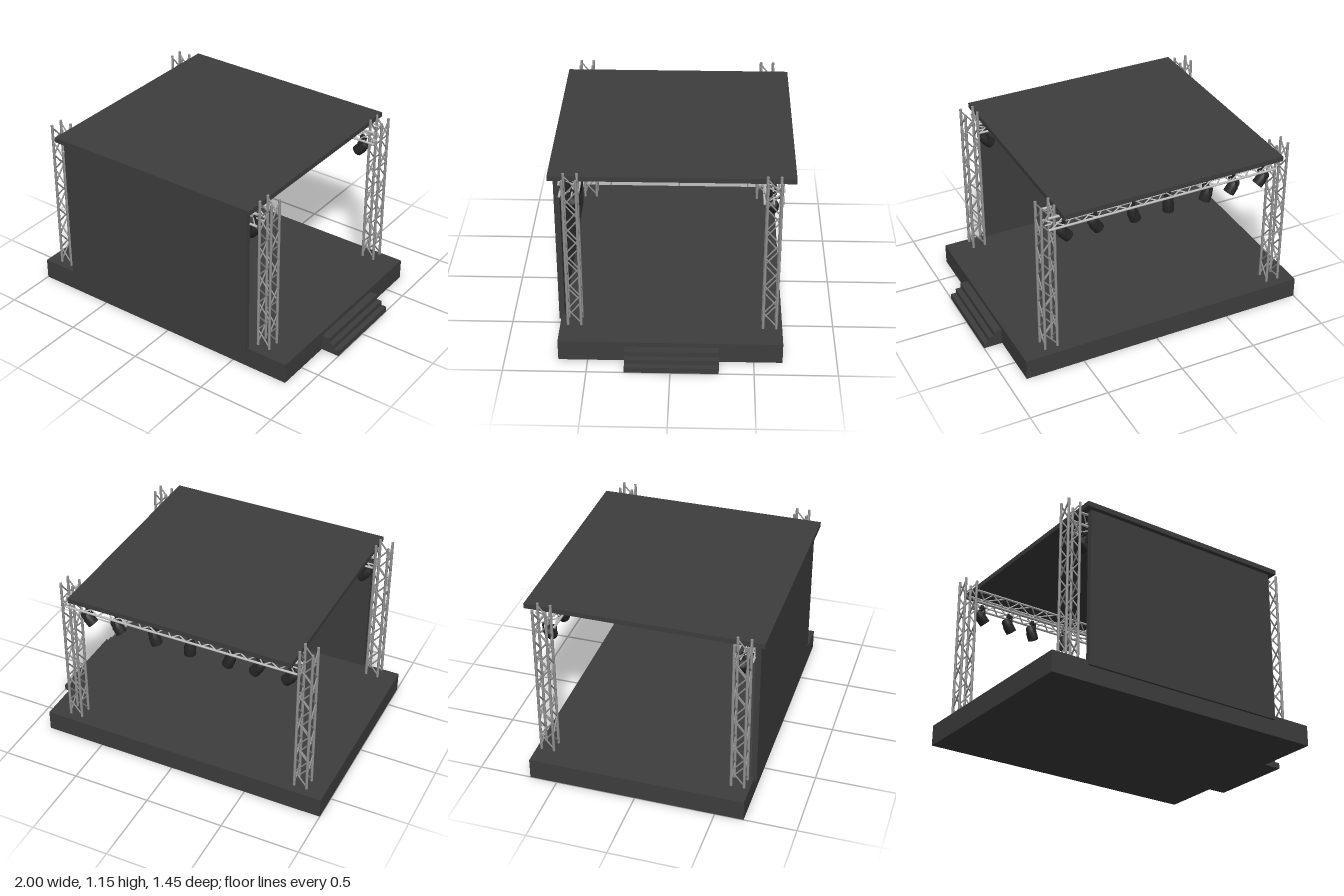
import * as THREE from 'three';
import { mergeGeometries } from 'three/addons/utils/BufferGeometryUtils.js';

const mat = (name, color, side = THREE.FrontSide) => {
  const m = new THREE.MeshStandardMaterial({ color, side });
  m.name = name;
  return m;
};

// Round bar between two points
function bar(a, b, r, sides) {
  const dir = b.clone().sub(a);
  const g = new THREE.CylinderGeometry(r, r, dir.length(), sides);
  g.applyQuaternion(new THREE.Quaternion().setFromUnitVectors(
    new THREE.Vector3(0, 1, 0), dir.clone().normalize()));
  return g.translate((a.x + b.x) / 2, (a.y + b.y) / 2, (a.z + b.z) / 2);
}

// Square lattice truss standing on the origin: w by d between chord centres, n bays high
function trussGeometry(w, d, length, n, chordR, braceR) {
  const V = (x, y, z) => new THREE.Vector3(x, y, z);
  const corners = [[-w / 2, -d / 2], [w / 2, -d / 2], [w / 2, d / 2], [-w / 2, d / 2]];
  const parts = [];
  corners.forEach((c, i) => {
    const e = corners[(i + 1) % 4];
    parts.push(bar(V(c[0], 0, c[1]), V(c[0], length, c[1]), chordR, 10));
    // Zigzag braces; opposite faces run the other way
    const pad = 0.015;
    const bay = (length - 2 * pad) / n;
    for (let k = 0; k < n; k++) {
      const [p, q] = k % 2 ? [e, c] : [c, e];
      parts.push(bar(V(p[0], pad + k * bay, p[1]), V(q[0], pad + (k + 1) * bay, q[1]), braceR, 6));
    }
  });
  return mergeGeometries(parts);
}

export function createModel() {
  const root = new THREE.Group();
  root.name = 'stage';
  const panel = mat('charcoal panel', 0x3d3d3d);
  const steel = mat('tower steel', 0x929292);
  const alloy = mat('light alloy', 0xbcbcbc);
  const black = mat('lamp black', 0x262626);
  const glass = mat('lamp lens', 0x484848);

  const add = (parent, name, geometry, material, x = 0, y = 0, z = 0) => {
    const m = new THREE.Mesh(geometry, material);
    m.name = name;
    m.position.set(x, y, z);
    parent.add(m);
    return m;
  };
  // Box given by its limits on each axis
  const block = (name, x0, x1, y0, y1, z0, z1) => add(root, name,
    new THREE.BoxGeometry(x1 - x0, y1 - y0, z1 - z0), panel,
    (x0 + x1) / 2, (y0 + y1) / 2, (z0 + z1) / 2);

  block('deck', -1, 0.88, 0, 0.132, -0.673, 0.677);
  block('wall', -0.76, 0.603, 0.103, 1.1, 0.657, 0.692);
  block('roof', -0.802, 0.64, 1.1, 1.131, -0.725, 0.722);

  // Side steps
  [[0.93, 0.068, 0.102], [0.965, 0.037, 0.068], [1, 0, 0.037]].forEach(([x, y0, y1], i) =>
    block('step' + (3 - i), 0.88, x, y0, y1, -0.29, 0.275));

  // Corner towers
  const tower = trussGeometry(0.08, 0.08, 1.005, 10, 0.0085, 0.005);
  [['frontRightTower', -0.85, 0.607], ['backRightTower', -0.85, -0.593],
    ['frontLeftTower', 0.688, 0.586], ['backLeftTower', 0.698, -0.595]].forEach(([name, x, z]) =>
    add(root, name, tower, steel, x, 0.15, z));

  // Spotlight with its clamp and yoke, pivoting at the lamp's middle
  const can = new THREE.LatheGeometry([[0, 0.048], [0.02, 0.048], [0.029, 0.036], [0.031, 0.005],
    [0.035, 0.005], [0.035, -0.046], [0.03, -0.046], [0.03, -0.038]]
    .reverse().map(([x, y]) => new THREE.Vector2(x, y)), 16);
  const lens = new THREE.CylinderGeometry(0.031, 0.031, 0.004, 16);
  const yokeArm = new THREE.BoxGeometry(0.014, 0.055, 0.005);
  const yokeTop = new THREE.BoxGeometry(0.014, 0.005, 0.087);
  const hanger = new THREE.CylinderGeometry(0.006, 0.006, 0.04, 8);
  const clamp = new THREE.BoxGeometry(0.02, 0.022, 0.024);
  function spotlight(parent, x, tilt, z) {
    const g = new THREE.Group();
    g.name = 'spotlight';
    g.position.set(x, 0.922, z);
    const lamp = new THREE.Group();
    lamp.name = 'lamp';
    lamp.rotation.z = tilt;
    add(lamp, 'lampCan', can, black);
    add(lamp, 'lampLens', lens, glass, 0, -0.039, 0);
    g.add(lamp);
    for (const s of [-1, 1]) add(g, 'yokeArm', yokeArm, black, 0, 0.025, s * 0.041);
    add(g, 'yokeTop', yokeTop, black, 0, 0.053, 0);
    add(g, 'hanger', hanger, black, 0, 0.066, 0);
    add(g, 'clamp', clamp, black, 0, 0.076, 0);
    parent.add(g);
  }

  // Lighting beams: position across the span and inward tilt of each lamp
  const lamps = [[0.585, -0.75], [0.385, -0.6], [0.135, -0.35], [-0.1, 0],
    [-0.36, 0.35], [-0.54, 0.6], [-0.745, 0.75]];
  [['frontBeam', 0.65, 0.6, 0.582], ['backBeam', 0.7, -0.593, -0.593]].forEach(([name, end, z, lampZ]) => {
    const g = new THREE.Group();
    g.name = name;
    const length = end + 0.805;
    const truss = trussGeometry(0.08, 0.108, length, 15, 0.0075, 0.0045).rotateZ(-Math.PI / 2);
    add(g, 'beamTruss', truss, alloy, -0.805, 1.042, z);
    // Cross rail along the underside carries the lamps
    add(g, 'lampRail', new THREE.CylinderGeometry(0.005, 0.005, length, 8).rotateZ(Math.PI / 2),
      alloy, -0.805 + length / 2, 1.002, lampZ);
    for (const [x, tilt] of lamps) spotlight(g, x, tilt, lampZ);
    root.add(g);
  });

  return root;
}
